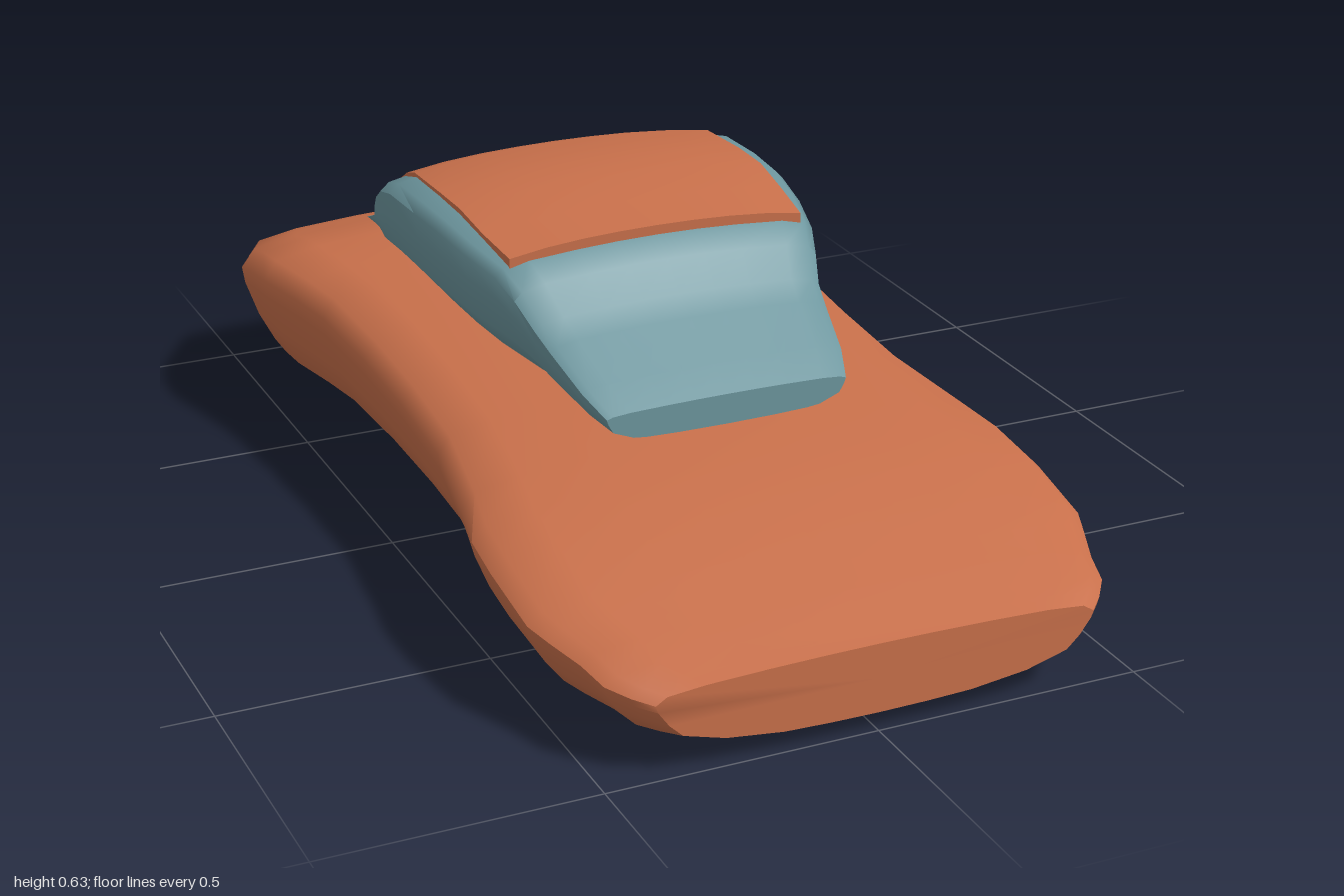
import * as THREE from 'three';
import { toCreasedNormals } from 'three/addons/utils/BufferGeometryUtils.js';

// Half outlines from bottom centre to top centre: [share of half width, share of height]
const HULL = [[0, 0], [0.22, 0.008], [0.43, 0.03], [0.69, 0.13], [0.88, 0.3], [0.94, 0.48], [0.99, 0.7],
  [1, 0.8], [0.95, 0.9], [0.78, 0.95], [0.5, 0.98], [0.25, 0.995], [0, 1]];
const GLASS = [[0, 0], [0.4, 0.015], [0.67, 0.05], [0.78, 0.1], [0.945, 0.37], [0.985, 0.65],
  [1, 0.83], [0.95, 0.9], [0.8, 0.95], [0.5, 0.98], [0.25, 0.995], [0, 1]];
const PANEL = [[0, 0], [1, 0], [1, 0.48], [0.75, 0.75], [0.5, 0.9], [0.25, 0.975], [0, 1]];

// Loft a mirrored outline through stations [z, halfWidth, bottom, top], listed front to back
function loft(outline, stations, crease) {
  const ring = [...outline, ...outline.slice(1, -1).reverse().map(([x, y]) => [-x, y])];
  const n = ring.length, pos = [], idx = [];
  for (const [z, w, y0, y1] of stations)
    for (const [x, y] of ring) pos.push(x * w, y0 + y * (y1 - y0), z);
  const last = stations.length - 1;
  for (let i = 0; i < last; i++)
    for (let j = 0; j < n; j++) {
      const k = (j + 1) % n, a = i * n + j, b = i * n + k;
      idx.push(a, a + n, b, b, a + n, b + n);
    }
  // End caps
  for (const s of [0, last]) {
    const [z, , y0, y1] = stations[s], c = pos.length / 3;
    pos.push(0, (y0 + y1) / 2, z);
    for (let j = 0; j < n; j++) {
      const a = s * n + j, b = s * n + (j + 1) % n;
      if (s === 0) idx.push(c, a, b); else idx.push(c, b, a);
    }
  }
  const g = new THREE.BufferGeometry();
  g.setAttribute('position', new THREE.Float32BufferAttribute(pos, 3));
  g.setIndex(idx);
  return toCreasedNormals(g, crease);
}

export function createModel() {
  const paint = new THREE.MeshStandardMaterial({ name: 'orange paint', color: 0xc76f4a });
  const glass = new THREE.MeshStandardMaterial({ name: 'teal glass', color: 0x6c959d });
  const model = new THREE.Group();
  model.name = 'car';
  const add = (name, geometry, material) => {
    const mesh = new THREE.Mesh(geometry, material);
    mesh.name = name;
    model.add(mesh);
  };

  // Wedge body with a pinched waist
  add('body', loft(HULL, [
    [1, 0.41, 0.04, 0.17], [0.97, 0.44, 0.035, 0.178], [0.93, 0.47, 0.027, 0.19], [0.87, 0.485, 0.022, 0.207],
    [0.8, 0.512, 0.014, 0.226], [0.75, 0.53, 0.011, 0.24], [0.6, 0.535, 0.006, 0.278], [0.5, 0.53, 0.005, 0.295],
    [0.4, 0.51, 0.006, 0.31], [0.2, 0.478, 0.008, 0.332], [0, 0.473, 0.01, 0.352], [-0.2, 0.477, 0.013, 0.37],
    [-0.4, 0.49, 0.015, 0.385], [-0.5, 0.51, 0.015, 0.391], [-0.62, 0.538, 0.014, 0.395], [-0.7, 0.54, 0.012, 0.385],
    [-0.8, 0.53, 0.01, 0.352], [-0.87, 0.495, 0.011, 0.335], [-0.93, 0.475, 0.014, 0.315],
    [-0.96, 0.455, 0.018, 0.298], [-1, 0.41, 0.04, 0.24],
  ], 0.9), paint);

  // Glass cabin
  add('cabin', loft(GLASS, [
    [0.41, 0.237, 0.327, 0.385], [0.35, 0.258, 0.33, 0.42], [0.25, 0.277, 0.336, 0.472], [0.2, 0.287, 0.34, 0.502],
    [0.15, 0.305, 0.343, 0.553], [0.1, 0.322, 0.345, 0.588], [0, 0.346, 0.348, 0.608], [-0.1, 0.36, 0.352, 0.622],
    [-0.2, 0.366, 0.356, 0.624], [-0.33, 0.367, 0.36, 0.618], [-0.4, 0.362, 0.362, 0.596], [-0.45, 0.354, 0.364, 0.56],
    [-0.5, 0.34, 0.366, 0.517], [-0.6, 0.307, 0.367, 0.445], [-0.66, 0.295, 0.368, 0.415], [-0.725, 0.28, 0.368, 0.385],
  ], 0.9), glass);

  // Roof panel laid over the glass
  add('roof', loft(PANEL, [
    [0.105, 0.295, 0.562, 0.603], [0, 0.306, 0.577, 0.618], [-0.1, 0.312, 0.594, 0.634], [-0.2, 0.314, 0.594, 0.634],
    [-0.34, 0.312, 0.587, 0.628], [-0.39, 0.31, 0.57, 0.612], [-0.435, 0.307, 0.542, 0.588],
  ], 0.7), paint);

  return model;
}
